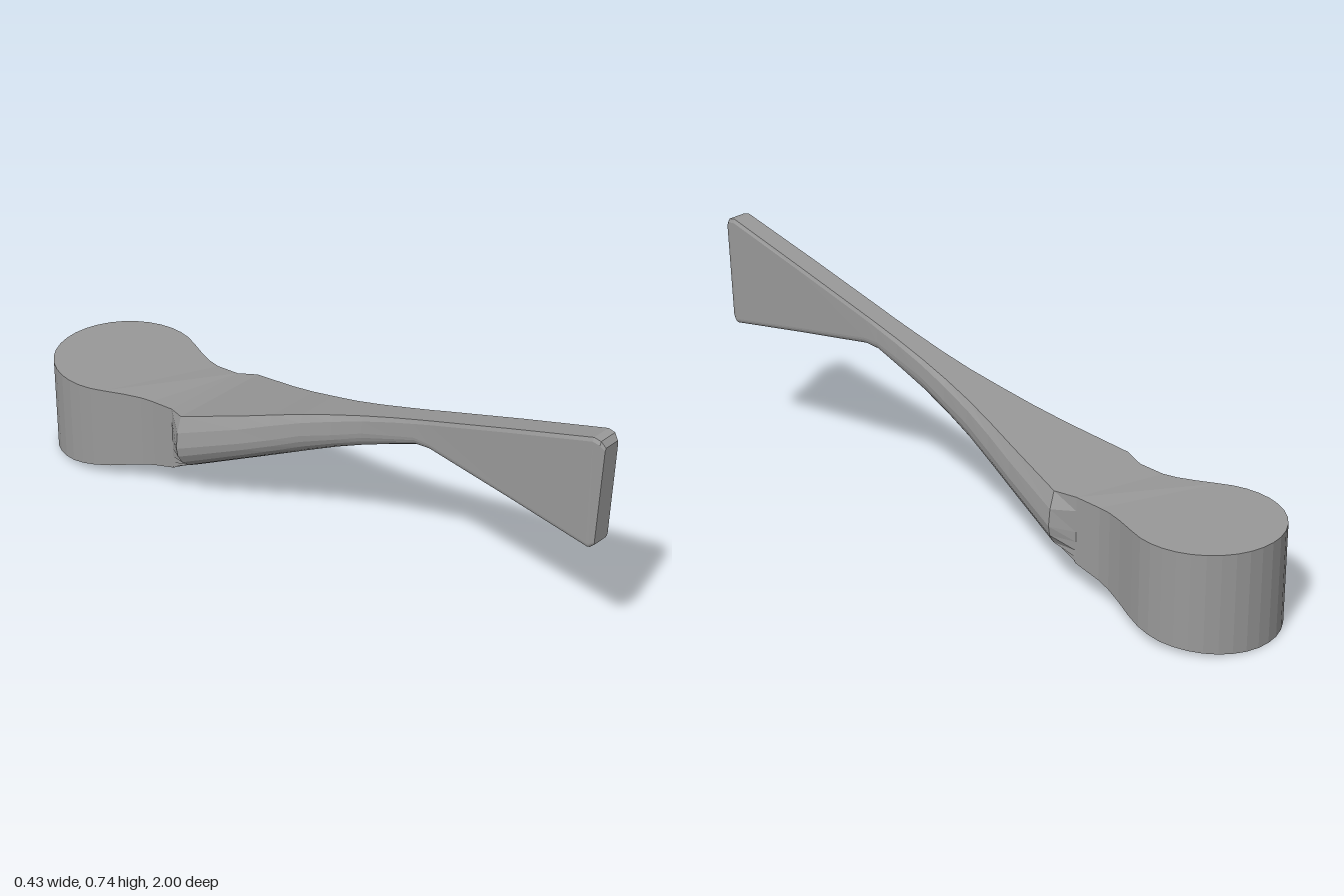
import * as THREE from 'three';

const grey = new THREE.MeshStandardMaterial({ color: 0x999999 });
grey.name = 'plain grey';

const HUB_Z = -0.783, HUB_R = 0.217, HOLE_R = 0.12, HOLE_TOP = 0.21, TOP = 0.3;

// Piecewise linear lookup in a list of [position, value]
function lookup(table, p) {
  if (p <= table[0][0]) return table[0][1];
  for (let i = 1; i < table.length; i++) {
    const [a, va] = table[i - 1], [b, vb] = table[i];
    if (p <= b) return va + ((vb - va) * (p - a)) / (b - a);
  }
  return table[table.length - 1][1];
}

// Height of the sloping hub underside along z
const underside = [[-1, 0], [-0.8, 0.022], [-0.66, 0.045], [-0.55, 0.075], [-0.45, 0.105]];

// Keyhole outline of hub and neck, drawn with shape y = -z
function hubOutline() {
  const neck = [[0.14, -0.45], [0.14, -0.53], [0.147, -0.57], [0.165, -0.62], [0.187, -0.67]];
  const pts = neck.map(([x, z]) => new THREE.Vector2(x, -z));
  const n = 22, start = -0.48, end = Math.PI - start;
  for (let i = 0; i <= n; i++) {
    const a = start + ((end - start) * i) / n;
    pts.push(new THREE.Vector2(HUB_R * Math.cos(a), -HUB_Z + HUB_R * Math.sin(a)));
  }
  neck.reverse().forEach(([x, z]) => pts.push(new THREE.Vector2(-x, -z)));
  return new THREE.Shape(pts);
}

// Vertical slab of the hub between two heights
function hubSlab(shape, y0, y1) {
  const geo = new THREE.ExtrudeGeometry(shape, { depth: y1 - y0, bevelEnabled: false, curveSegments: 12 });
  geo.rotateX(-Math.PI / 2);
  geo.translate(0, y0, 0);
  const p = geo.attributes.position;
  for (let i = 0; i < p.count; i++) {
    const z = p.getZ(i);
    if (p.getY(i) < 0.001) p.setY(i, lookup(underside, z));
    else if (p.getY(i) > TOP - 0.001 && z > -0.46) p.setY(i, 0.306);
  }
  geo.computeVertexNormals();
  return geo;
}

// Arm cross-sections: z, top, bottom, top half width, widest half width, height of widest, flat bottom half width
const sections = [
  [-0.45, 0.306, 0.105, 0.14, 0.14, 0.2, 0.14],
  [-0.39, 0.315, 0.12, 0.163, 0.185, 0.215, 0.07],
  [-0.2, 0.37, 0.208, 0.113, 0.132, 0.285, 0.045],
  [-0.1, 0.402, 0.255, 0.088, 0.104, 0.325, 0.035],
  [0, 0.435, 0.303, 0.067, 0.081, 0.37, 0.025],
  [0.1, 0.466, 0.352, 0.051, 0.063, 0.405, 0.02],
  [0.2, 0.498, 0.398, 0.041, 0.05, 0.445, 0.02],
  [0.3, 0.53, 0.44, 0.036, 0.043, 0.475, 0.02],
  [0.38, 0.555, 0.474, 0.034, 0.04, 0.5, 0.022],
  [0.43, 0.571, 0.48, 0.034, 0.039, 0.5, 0.024],
  [0.7, 0.655, 0.441, 0.033, 0.038, 0.458, 0.025],
  [0.965, 0.735, 0.4, 0.031, 0.037, 0.415, 0.025],
  [0.987, 0.731, 0.401, 0.03, 0.036, 0.416, 0.024],
  [1, 0.714, 0.414, 0.025, 0.029, 0.425, 0.02],
];

function armGeometry() {
  const arc = 5, pos = [], index = [];
  let ring = 0;
  for (const [z, top, bot, wTop, wMax, yMax, wBot] of sections) {
    const half = [[wTop, top], [wTop + (wMax - wTop) * 0.75, top - Math.min(0.3 * wMax, (top - yMax) / 2)]];
    for (let k = 0; k <= arc; k++) {
      const a = (k / arc) * Math.PI / 2;
      half.push([wBot + (wMax - wBot) * Math.cos(a), yMax - (yMax - bot) * Math.sin(a)]);
    }
    const loop = [...half, ...half.map(([x, y]) => [-x, y]).reverse()];
    ring = loop.length;
    // The tip leans back slightly towards its lower corner
    for (const [x, y] of loop) pos.push(x, y, z - (z > 0.98 ? Math.max(0, 0.714 - y) * 0.05 : 0));
  }
  for (let i = 0; i < sections.length - 1; i++) {
    for (let j = 0; j < ring; j++) {
      const a = i * ring + j, b = i * ring + ((j + 1) % ring), c = a + ring, d = b + ring;
      index.push(a, c, b, b, c, d);
    }
  }
  // Tip cap
  const last = (sections.length - 1) * ring;
  for (let j = 1; j < ring - 1; j++) index.push(last, last + j + 1, last + j);
  const geo = new THREE.BufferGeometry();
  geo.setAttribute('position', new THREE.Float32BufferAttribute(pos, 3));
  geo.setIndex(index);
  const flat = geo.toNonIndexed();
  flat.computeVertexNormals();
  return flat;
}

export function createModel() {
  const model = new THREE.Group();
  model.name = 'leverHandle';
  const add = (name, geo) => {
    const mesh = new THREE.Mesh(geo, grey);
    mesh.name = name;
    model.add(mesh);
  };

  // Hub with a blind round socket underneath
  const lower = hubOutline();
  const hole = new THREE.Path();
  hole.absarc(0, -HUB_Z, HOLE_R, 0, Math.PI * 2, true);
  lower.holes.push(hole);
  add('hubSocket', hubSlab(lower, 0, HOLE_TOP));
  add('hubTop', hubSlab(hubOutline(), HOLE_TOP, TOP));

  // Arm tapering into a thin flared blade
  add('arm', armGeometry());
  return model;
}
